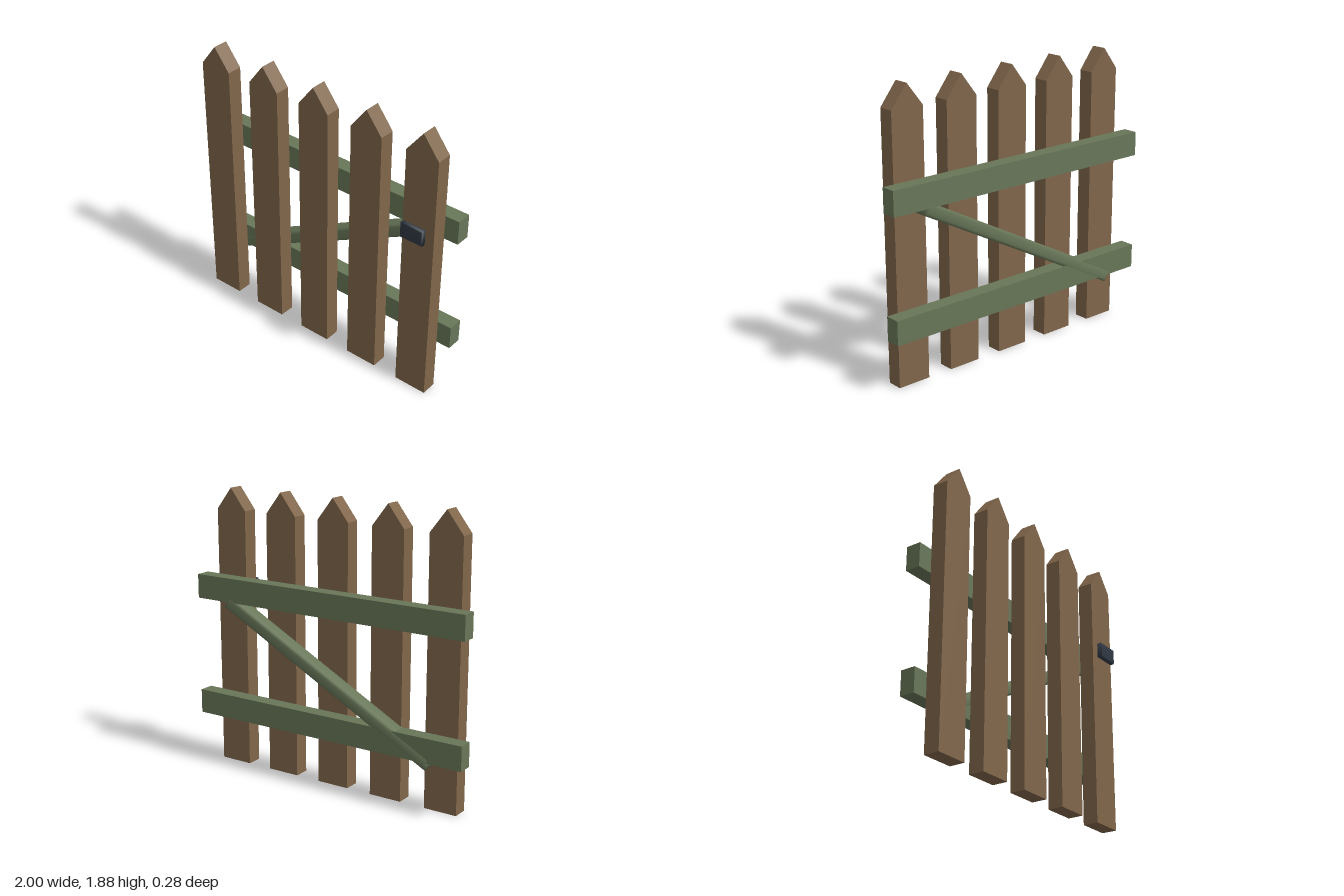
import * as THREE from 'three';
import { mergeVertices } from 'three/addons/utils/BufferGeometryUtils.js';

const wood = new THREE.MeshStandardMaterial({ color: 0x80664a });
wood.name = 'brown wood';
const green = new THREE.MeshStandardMaterial({ color: 0x687658 });
green.name = 'green paint';
const iron = new THREE.MeshStandardMaterial({ color: 0x303843 });
iron.name = 'dark iron';

// Block with chamfered front and back edges and softened normals
function chamferedBlock(w, h, d, inset, depth) {
  const x = w / 2 - inset, y = h / 2 - inset;
  const shape = new THREE.Shape([
    new THREE.Vector2(-x, -y), new THREE.Vector2(x, -y),
    new THREE.Vector2(x, y), new THREE.Vector2(-x, y),
  ]);
  const geo = new THREE.ExtrudeGeometry(shape, {
    depth: d - 2 * depth, bevelEnabled: true, bevelSegments: 1,
    bevelSize: inset, bevelThickness: depth,
  });
  geo.translate(0, 0, depth - d / 2);
  geo.deleteAttribute('normal');
  geo.deleteAttribute('uv');
  const soft = mergeVertices(geo, 1e-4);
  soft.computeVertexNormals();
  return soft;
}

export function createModel() {
  const group = new THREE.Group();
  group.name = 'picketGate';

  function add(name, geo, material, x, y, z) {
    const mesh = new THREE.Mesh(geo, material);
    mesh.name = name;
    mesh.position.set(x, y, z);
    group.add(mesh);
    return mesh;
  }

  // Pointed pickets
  const hw = 0.113;
  const outline = new THREE.Shape([
    new THREE.Vector2(-hw, 0), new THREE.Vector2(hw, 0),
    new THREE.Vector2(hw, 1.735), new THREE.Vector2(0, 1.88),
    new THREE.Vector2(-hw, 1.735),
  ]);
  const picketGeo = new THREE.ExtrudeGeometry(outline, { depth: 0.104, bevelEnabled: false });
  for (let i = 0; i < 5; i++) add('picket' + (i + 1), picketGeo, wood, -0.8 + i * 0.4, 0, -0.022);

  // Horizontal rails behind the pickets
  const railGeo = new THREE.BoxGeometry(2, 0.16, 0.1);
  add('lowerRail', railGeo, green, 0, 0.425, -0.088);
  add('upperRail', railGeo, green, 0, 1.225, -0.088);

  // Diagonal brace between the rails
  const brace = add('diagonalBrace', chamferedBlock(1.735, 0.085, 0.106, 0.018, 0.011), green, 0, 0.741, -0.088);
  brace.rotation.z = THREE.MathUtils.degToRad(28);

  // Latch plate in front of the last picket
  add('latch', chamferedBlock(0.16, 0.104, 0.04, 0.007, 0.007), iron, 0.788, 1.217, 0.121);

  return group;
}
